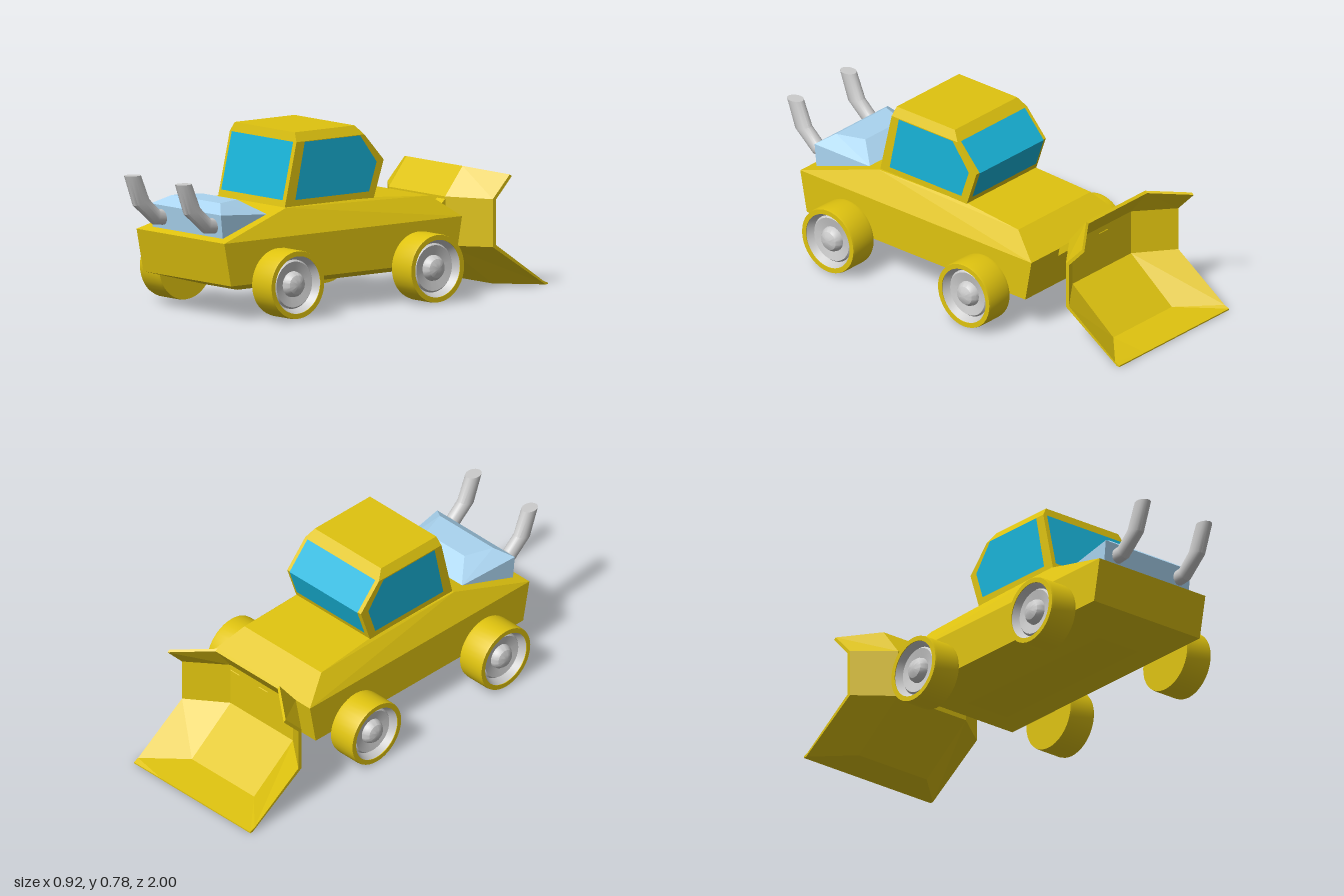
import * as THREE from 'three';
import { toCreasedNormals } from 'three/addons/utils/BufferGeometryUtils.js';
import { ConvexGeometry } from 'three/addons/geometries/ConvexGeometry.js';

const material = (color, side = THREE.FrontSide) => new THREE.MeshStandardMaterial({ color, side });
const yellow = material(0xdfc30f);
const blue = material(0xaad4f0);
const grey = material(0xcccccc);
const glass = material(0x18b4d9, THREE.DoubleSide);
const V = (x, y, z) => new THREE.Vector3(x, y, z);

function part(name, geometry, mat) {
  const mesh = new THREE.Mesh(geometry, mat);
  mesh.name = name;
  return mesh;
}

// Faceted solid from half of its corners, mirrored across x
const mirroredHull = (half) =>
  new ConvexGeometry(half.flatMap(([x, y, z]) => [V(x, y, z), V(-x, y, z)]));

function fromTriangles(points) {
  const g = new THREE.BufferGeometry().setFromPoints(points);
  g.computeVertexNormals();
  return g;
}

// Closed skin over rings that run counter-clockwise about the travel direction
function loft(rings) {
  const pts = [];
  const quad = (a, b, c, d) => pts.push(a, b, c, a, c, d);
  const n = rings[0].length;
  for (let s = 0; s < rings.length - 1; s++) {
    for (let i = 0; i < n; i++) {
      const j = (i + 1) % n;
      quad(rings[s][i], rings[s][j], rings[s + 1][j], rings[s + 1][i]);
    }
  }
  const first = rings[0], last = rings[rings.length - 1];
  for (let i = 0; i < n / 2 - 1; i++) {
    quad(last[i], last[i + 1], last[n - 2 - i], last[n - 1 - i]);
    quad(first[n - 1 - i], first[n - 2 - i], first[i + 1], first[i]);
  }
  return fromTriangles(pts);
}

// Flat window pane as a triangle fan
function pane(corners) {
  const pts = [];
  for (let i = 1; i < corners.length - 1; i++) pts.push(corners[0], corners[i], corners[i + 1]);
  return fromTriangles(pts);
}

function createCab() {
  const cab = new THREE.Group();
  cab.name = 'cab';
  cab.add(part('cabShell', mirroredHull([
    [0.228, 0.45, 0.432], [0.228, 0.74, 0.364], [0.205, 0.78, 0.355], [0.205, 0.78, 0.02],
    [0.228, 0.74, -0.016], [0.228, 0.62, -0.125], [0.228, 0.45, -0.067],
  ]), yellow));
  // Cross-cab panes: lower and upper edge as [y, z]
  const across = (name, [y0, z0], [y1, z1]) => cab.add(part(name, pane([
    V(-0.21, y0, z0), V(0.21, y0, z0), V(0.21, y1, z1), V(-0.21, y1, z1),
  ]), glass));
  across('frontWindow', [0.49, 0.427], [0.74, 0.368]);
  across('rearUpperWindow', [0.74, -0.02], [0.62, -0.129]);
  across('rearLowerWindow', [0.62, -0.129], [0.49, -0.085]);
  const outline = [[0.32, 0.738], [0.01, 0.738], [-0.083, 0.615], [-0.04, 0.488], [0.373, 0.488]];
  for (const side of [1, -1]) {
    const corners = outline.map(([z, y]) => V(side * 0.231, y, z));
    if (side < 0) corners.reverse();
    cab.add(part(side > 0 ? 'leftWindow' : 'rightWindow', pane(corners.reverse()), glass));
  }
  return cab;
}

function createBucket() {
  // Back profile from top lip to cutting edge as [z, y]
  const wing = [[-0.785, 0.50], [-0.69, 0.40], [-0.69, 0.19], [-0.985, 0], [-1, 0]];
  const middle = [[-0.66, 0.53], [-0.562, 0.405], [-0.562, 0.19], [-0.825, 0], [-1, 0]];
  // Plate thickness toward the scooping side
  const inset = [[-0.012, -0.008], [-0.018, -0.003], [-0.018, 0.008], [0.01, 0.016], [0, 0.006]];
  const ring = (x, profile) => [
    ...profile.map(([z, y]) => V(x, y, z)),
    ...profile.map(([z, y], i) => V(x, y + inset[i][1], z + inset[i][0])).reverse(),
  ];
  return part('bucket', loft([
    ring(-0.435, wing), ring(-0.27, middle), ring(0.115, middle), ring(0.285, wing),
  ]), yellow);
}

function createExhaust(x) {
  // Stations: centre z, y and the half-height vector z, y of each slanted cut
  const stations = [
    [0.74, 0.402, 0, 0.034], [0.83, 0.412, -0.013, 0.033],
    [0.912, 0.483, -0.04, 0.012], [0.96, 0.605, -0.04, 0],
  ];
  const sides = 20;
  const rings = stations.map(([z, y, vz, vy]) => Array.from({ length: sides }, (_, i) => {
    const a = (i / sides) * Math.PI * 2;
    return V(x + 0.032 * Math.cos(a), y + vy * Math.sin(a), z + vz * Math.sin(a));
  }));
  return part('exhaustPipe', toCreasedNormals(loft(rings), 0.5), grey);
}

// Wheel parts turned about the axle, profiles as [radius, x]
function turned(profile) {
  const g = new THREE.LatheGeometry(profile.map(([r, h]) => new THREE.Vector2(r, h)), 40);
  return toCreasedNormals(g.rotateZ(-Math.PI / 2), 0.5);
}

function createWheel(name, side, z) {
  const wheel = new THREE.Group();
  wheel.name = name;
  wheel.add(
    part('tyre', turned([[0, 0.317], [0.148, 0.317], [0.15, 0.33], [0.15, 0.44],
      [0.148, 0.45], [0.126, 0.45], [0.126, 0.44]]), yellow),
    part('rim', turned([[0.126, 0.447], [0.108, 0.415], [0.1, 0.425], [0.056, 0.415]]), grey),
    part('hub', turned([[0.058, 0.41], [0.054, 0.43], [0.042, 0.446], [0.022, 0.455], [0, 0.458]]), grey),
  );
  wheel.position.set(0, 0.155, z);
  if (side < 0) wheel.rotation.y = Math.PI;
  return wheel;
}

export function createModel() {
  const model = new THREE.Group();
  model.name = 'bulldozer';

  // Wedge-shaped hull with a shallow keel
  model.add(part('body', mirroredHull([
    [0.3, 0.345, 0.828], [0.3, 0.155, 0.79], [0.3, 0.155, -0.47], [0.3, 0.345, -0.505],
    [0.238, 0.46, 0.43], [0.225, 0.46, -0.07], [0.238, 0.44, -0.375],
    [0.11, 0.102, 0.6], [0.11, 0.102, -0.28],
  ]), yellow));

  model.add(createCab());

  // Engine block on the sloping hood
  model.add(part('engine', mirroredHull([
    [0.24, 0.355, 0.787], [0.24, 0.46, 0.798], [0.165, 0.5, 0.74], [0.12, 0.5, 0.61],
    [0.205, 0.435, 0.51], [0.205, 0.37, 0.51],
  ]), blue));
  model.add(createExhaust(-0.167), createExhaust(0.181));

  // Bucket and its two short arms
  model.add(createBucket());
  for (const x of [-0.088, 0.088]) {
    const arm = part('bucketArm', new THREE.BoxGeometry(0.056, 0.028, 0.15), yellow);
    arm.position.set(x, 0.338, -0.515);
    arm.rotation.x = 0.68;
    model.add(arm);
  }

  for (const side of [1, -1]) {
    const label = side > 0 ? 'Left' : 'Right';
    model.add(createWheel(`front${label}Wheel`, side, 0.538));
    model.add(createWheel(`rear${label}Wheel`, side, -0.246));
  }
  return model;
}
